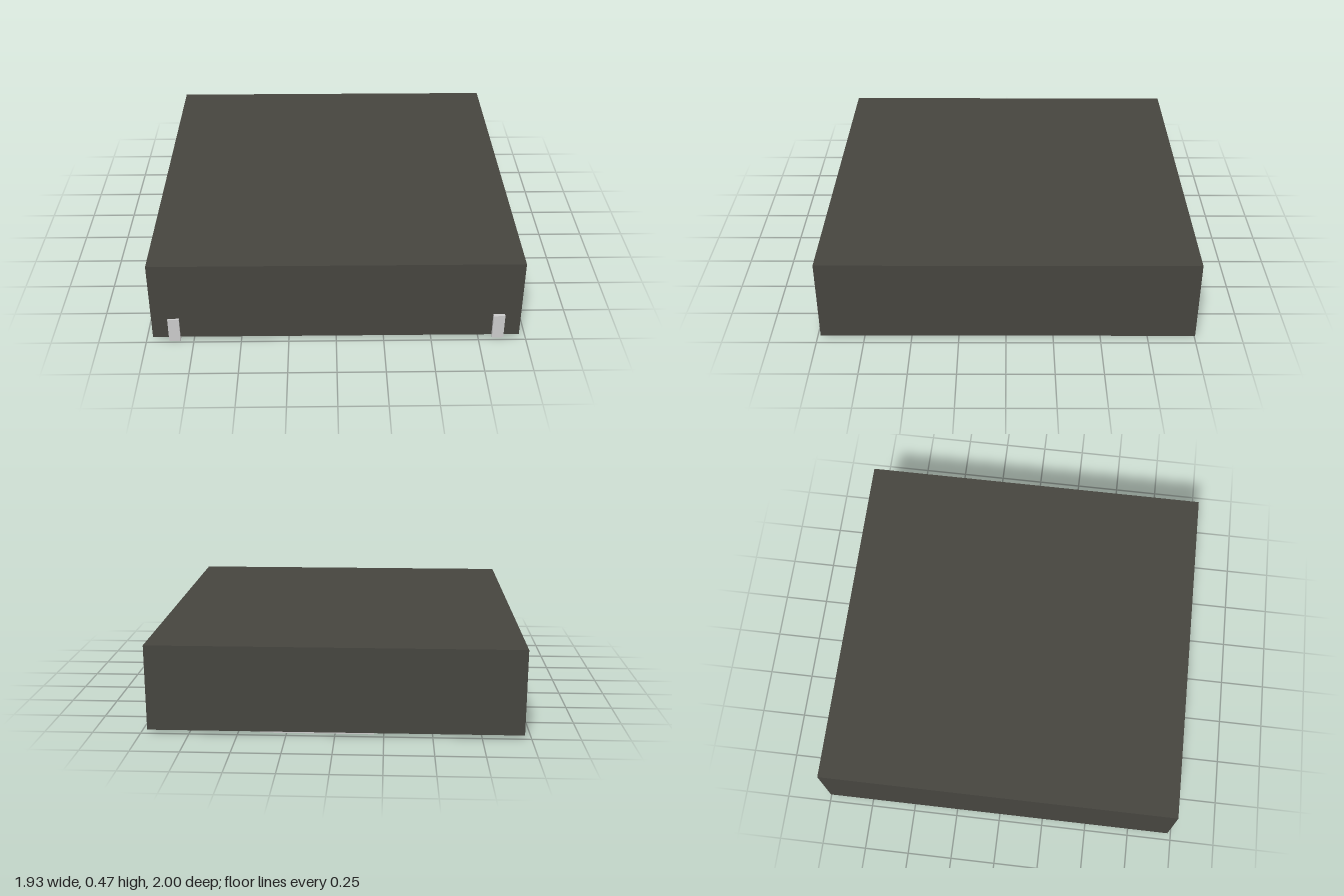
import * as THREE from 'three';

const dark = new THREE.MeshStandardMaterial({ color: 0x46453f });
const grey = new THREE.MeshStandardMaterial({ color: 0xcccccc });

// Box given by its limits along each axis
function block(name, [x0, x1], [y0, y1], [z0, z1], material = grey) {
  const mesh = new THREE.Mesh(new THREE.BoxGeometry(x1 - x0, y1 - y0, z1 - z0), material);
  mesh.position.set((x0 + x1) / 2, (y0 + y1) / 2, (z0 + z1) / 2);
  mesh.name = name;
  return mesh;
}

// L-shaped bracket: upright on the front face, foot tucked under the slab
function bracket(name, x, bottom, top, front) {
  const shape = new THREE.Shape();
  const back = 0.963, face = 0.98, under = 0.02;
  shape.moveTo(back, bottom);
  shape.lineTo(front, bottom);
  shape.lineTo(front, top);
  shape.lineTo(face, top);
  shape.lineTo(face, under);
  shape.lineTo(back, under);
  shape.closePath();
  const width = 0.06;
  const geometry = new THREE.ExtrudeGeometry(shape, { depth: width, bevelEnabled: false });
  geometry.translate(0, 0, -width / 2);
  geometry.rotateY(-Math.PI / 2); // profile x becomes z
  const mesh = new THREE.Mesh(geometry, grey);
  mesh.position.x = x;
  mesh.name = name;
  return mesh;
}

export function createModel() {
  const model = new THREE.Group();
  model.name = 'slab';

  // Main body
  model.add(block('body', [-0.965, 0.965], [0.02, 0.47], [-1, 0.98], dark));

  // Front brackets
  model.add(bracket('rightBracket', -0.85, 0, 0.14, 0.99));
  model.add(bracket('leftBracket', 0.85, 0.015, 0.155, 1));

  // Thin plates on the underside
  model.add(block('backStrip', [-0.2, 0.385], [0.01, 0.02], [-0.99, -0.965]));
  model.add(block('squarePad', [0.57, 0.71], [0.016, 0.02], [0.37, 0.515]));
  model.add(block('sideStripRear', [0.91, 0.96], [0.017, 0.02], [0.515, 0.74]));
  model.add(block('sideStripFront', [0.91, 0.96], [0.017, 0.02], [0.755, 0.975]));

  return model;
}
